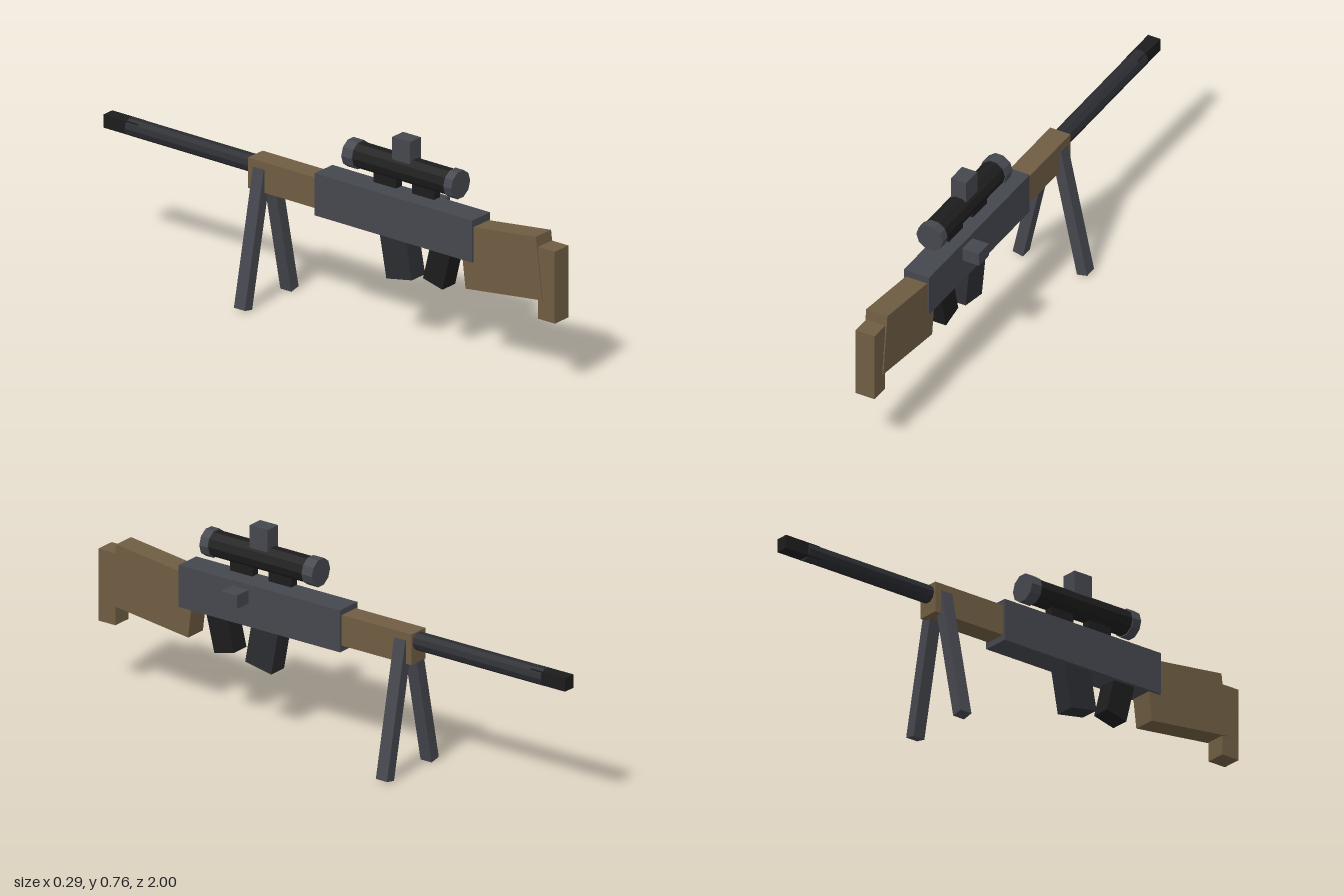
import * as THREE from 'three';

const rad = THREE.MathUtils.degToRad;
const makeMaterial = (color) => new THREE.MeshStandardMaterial({ color, flatShading: true });

export function createModel() {
  const model = new THREE.Group();
  const wood = makeMaterial(0x6f5d43);
  const steel = makeMaterial(0x45474e);
  const darkSteel = makeMaterial(0x2b2c31);
  const black = makeMaterial(0x1c1c1d);

  function add(name, geometry, material, x, y, z) {
    const mesh = new THREE.Mesh(geometry, material);
    mesh.name = name;
    mesh.position.set(x, y, z);
    model.add(mesh);
    return mesh;
  }

  // Upright box given by its extents along y and z
  function block(name, material, width, y0, y1, z0, z1, x = 0) {
    return add(name, new THREE.BoxGeometry(width, y1 - y0, z1 - z0), material,
      x, (y0 + y1) / 2, (z0 + z1) / 2);
  }

  // Box leaning forwards or backwards
  function leaning(name, material, size, y, z, degrees) {
    const mesh = add(name, new THREE.BoxGeometry(...size), material, 0, y, z);
    mesh.rotation.x = rad(degrees);
    return mesh;
  }

  // Ten-sided tube along z with a corner on each side
  function tube(name, material, radius, y, z0, z1) {
    const geometry = new THREE.CylinderGeometry(radius, radius, z1 - z0, 10, 1, false, Math.PI / 2);
    geometry.rotateX(Math.PI / 2);
    return add(name, geometry, material, 0, y, (z0 + z1) / 2);
  }

  // Body
  block('receiver', steel, 0.1, 0.39, 0.545, -0.05, 0.645);
  block('boltHandle', steel, 0.085, 0.475, 0.525, 0.345, 0.415, 0.0725);
  block('handguard', wood, 0.08, 0.412, 0.525, -0.35, -0.04);

  // Stock
  leaning('stock', wood, [0.084, 0.23, 0.34], 0.4175, 0.765, -7);
  block('buttPad', wood, 0.075, 0.25, 0.516, 0.927, 1);

  // Grip and magazine
  leaning('grip', black, [0.07, 0.2, 0.088], 0.357, 0.484, 14);
  leaning('magazine', darkSteel, [0.073, 0.24, 0.114], 0.358, 0.291, -10.5);

  // Barrel
  tube('barrel', darkSteel, 0.033, 0.49, -0.9, -0.3);
  block('muzzle', black, 0.048, 0.466, 0.515, -1, -0.85);

  // Scope
  tube('scopeTube', black, 0.047, 0.64, 0.09, 0.54);
  tube('scopeFrontRing', steel, 0.052, 0.64, 0.07, 0.115);
  tube('scopeRearRing', steel, 0.052, 0.64, 0.52, 0.555);
  block('scopeTurret', steel, 0.06, 0.64, 0.756, 0.277, 0.355);
  block('frontScopeMount', black, 0.033, 0.562, 0.62, 0.185, 0.283);
  block('rearScopeMount', black, 0.033, 0.562, 0.62, 0.353, 0.45);

  // Bipod
  for (const side of [-1, 1]) {
    const leg = add(side > 0 ? 'leftLeg' : 'rightLeg',
      new THREE.BoxGeometry(0.041, 0.5, 0.048), steel, side * 0.075, 0.249, -0.302);
    leg.rotation.z = side * rad(12);
  }

  return model;
}
